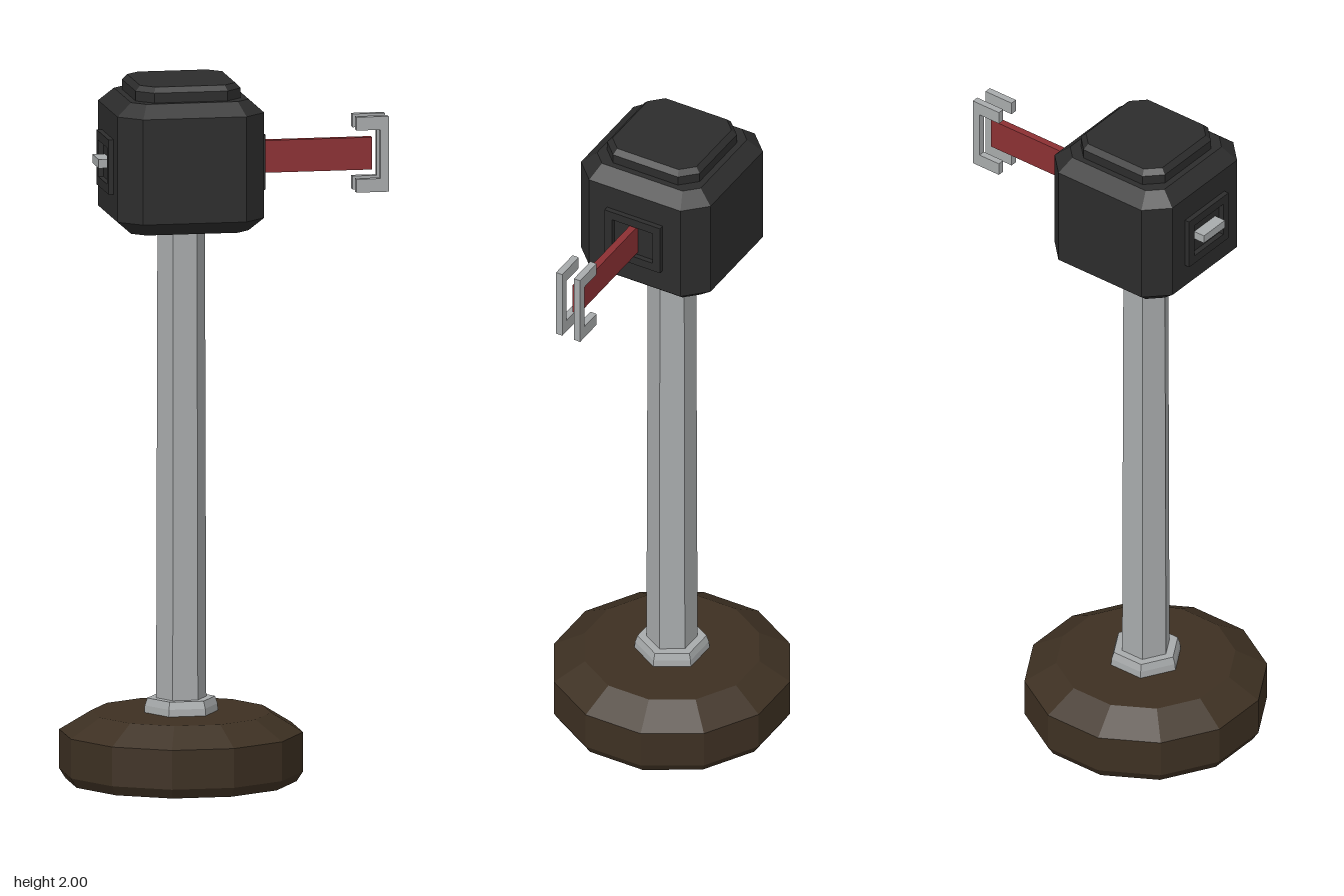
import * as THREE from 'three';

const AXIS = -0.13; // x of the post axis

export function createModel() {
  const group = new THREE.Group();
  const paint = (name, color) => {
    const m = new THREE.MeshStandardMaterial({ color });
    m.name = name;
    return m;
  };
  const brown = paint('darkBrown', 0x3d3022);
  const black = paint('black', 0x2c2c2c);
  const metal = paint('greyMetal', 0xa8abac);
  const red = paint('redBelt', 0x8c3033);

  const add = (name, geometry, material, x, y, z = 0) => {
    const mesh = new THREE.Mesh(geometry, material);
    mesh.name = name;
    mesh.position.set(x, y, z);
    group.add(mesh);
    return mesh;
  };

  // Faceted solid of revolution, half a facet turned, from [radius, y] points
  const turned = (points, sides) => {
    const g = new THREE.LatheGeometry(points.map(p => new THREE.Vector2(...p)), sides)
      .rotateY(Math.PI / sides).toNonIndexed();
    g.computeVertexNormals();
    return g;
  };

  // Square block with cut corners and bevelled rims, standing on y = 0
  const cutBlock = (half, corner, height, inset, rim) => {
    const h = half, c = half - corner;
    const shape = new THREE.Shape([
      [h, -c], [h, c], [c, h], [-c, h], [-h, c], [-h, -c], [-c, -h], [c, -h],
    ].map(p => new THREE.Vector2(...p)));
    return new THREE.ExtrudeGeometry(shape, {
      depth: height - 2 * rim, bevelEnabled: true, bevelSegments: 1,
      bevelSize: inset, bevelThickness: rim, bevelOffset: -inset,
    }).translate(0, 0, rim).rotateX(-Math.PI / 2);
  };

  const rectangle = (path, w, h) => path.moveTo(-w, -h).lineTo(w, -h).lineTo(w, h).lineTo(-w, h).closePath();

  // Foot, post and collar
  add('base', turned([[0, 0], [0.326, 0], [0.344, 0.028], [0.344, 0.14], [0.254, 0.195], [0, 0.195]], 12), brown, AXIS, 0);
  add('post', turned([[0, 0.19], [0.072, 0.19], [0.068, 1.6], [0, 1.6]], 6), metal, AXIS, 0);
  add('collar', turned([[0, 0.19], [0.106, 0.19], [0.104, 0.215], [0.097, 0.236], [0, 0.236]], 6), metal, AXIS, 0);

  // Head and lid
  add('head', cutBlock(0.21, 0.062, 0.374, 0.042, 0.037), black, AXIS, 1.583);
  add('lid', cutBlock(0.15, 0.045, 0.06, 0.014, 0.015), black, AXIS, 1.94);

  // Framed openings on both sides of the head
  const frame = rectangle(new THREE.Shape(), 0.09, 0.078);
  frame.holes.push(rectangle(new THREE.Path(), 0.066, 0.052));
  const frameGeometry = new THREE.ExtrudeGeometry(frame, { depth: 0.024, bevelEnabled: false })
    .translate(0, 0, -0.012).rotateY(Math.PI / 2);
  for (const side of [-1, 1]) {
    add(side > 0 ? 'beltFrame' : 'catchFrame', frameGeometry, black, AXIS + side * 0.213, 1.768);
  }

  // Catch on one side, belt on the other
  add('catch', new THREE.BoxGeometry(0.04, 0.025, 0.096), metal, -0.355, 1.771);
  add('belt', new THREE.BoxGeometry(0.345, 0.092, 0.021), red, 0.2425, 1.771);

  // Pair of C-shaped end clips
  const clip = new THREE.Shape([
    [0.364, 1.665], [0.457, 1.665], [0.457, 1.88], [0.364, 1.88],
    [0.364, 1.842], [0.433, 1.842], [0.433, 1.703], [0.364, 1.703],
  ].map(p => new THREE.Vector2(...p)));
  const clipGeometry = new THREE.ExtrudeGeometry(clip, { depth: 0.02, bevelEnabled: false }).translate(0, 0, -0.01);
  for (const side of [-1, 1]) {
    add(side > 0 ? 'frontClip' : 'backClip', clipGeometry, metal, 0, 0, side * 0.029);
  }

  return group;
}
